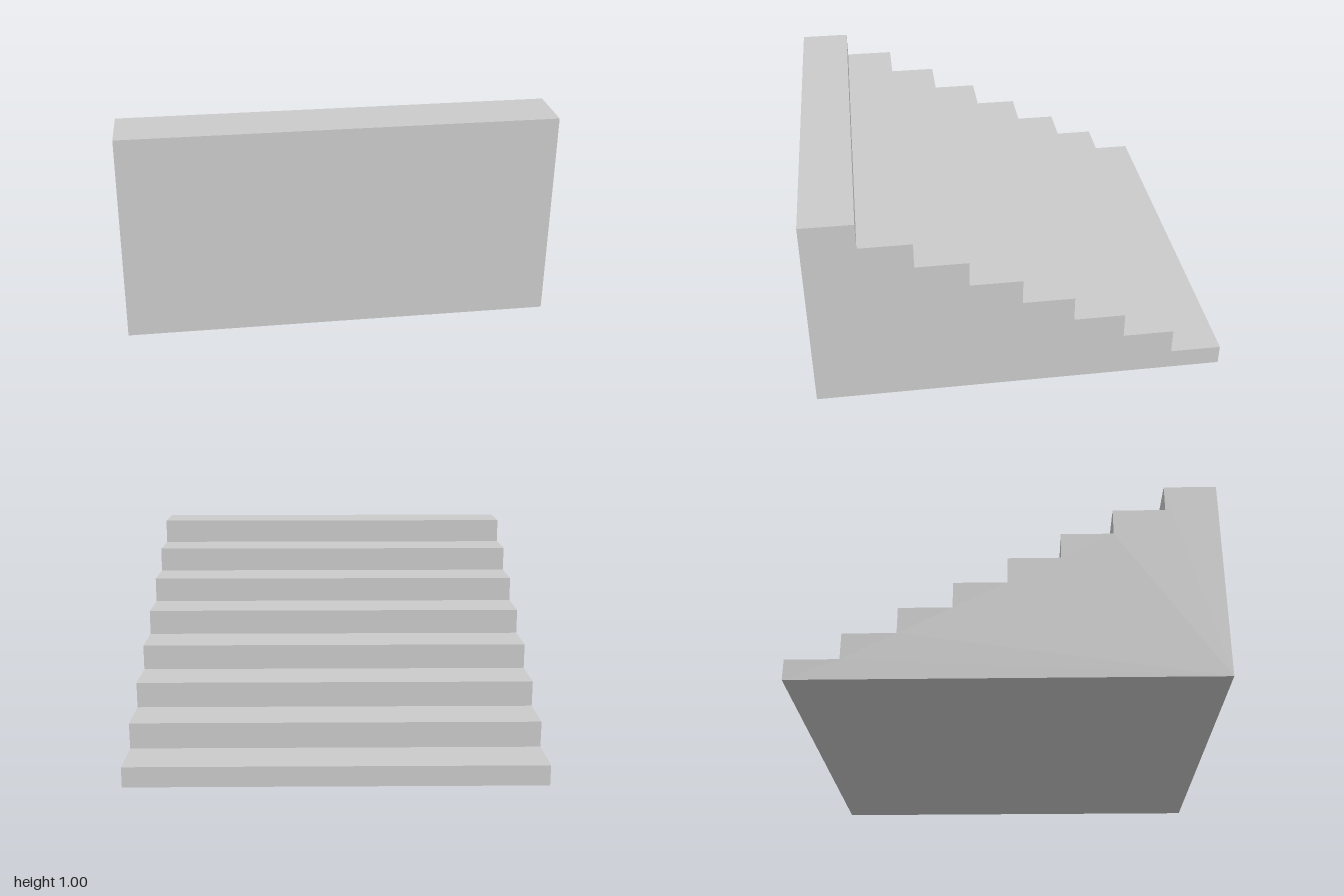
import * as THREE from 'three';

const STEPS = 8;
const WIDTH = 2;
const RUN = 2 / STEPS;        // tread depth
const FIRST = 0.1;            // height of the lowest step
const RISE = (1 - FIRST) / (STEPS - 1);

export function createModel() {
  const group = new THREE.Group();
  group.name = 'staircase';

  // Side profile: horizontal axis is z, steps climb from back to front
  const profile = new THREE.Shape();
  profile.moveTo(-1, 0);
  profile.lineTo(1, 0);
  for (let i = STEPS - 1; i >= 0; i--) {
    const y = FIRST + i * RISE;
    profile.lineTo(-1 + (i + 1) * RUN, y);
    profile.lineTo(-1 + i * RUN, y);
  }
  profile.closePath();

  // Solid flight of steps, extruded across the width
  const geometry = new THREE.ExtrudeGeometry(profile, { depth: WIDTH, bevelEnabled: false });
  geometry.translate(0, 0, -WIDTH / 2);
  geometry.rotateY(-Math.PI / 2);

  const steps = new THREE.Mesh(geometry, new THREE.MeshStandardMaterial({ color: 0xcccccc }));
  steps.name = 'steps';
  group.add(steps);
  return group;
}
